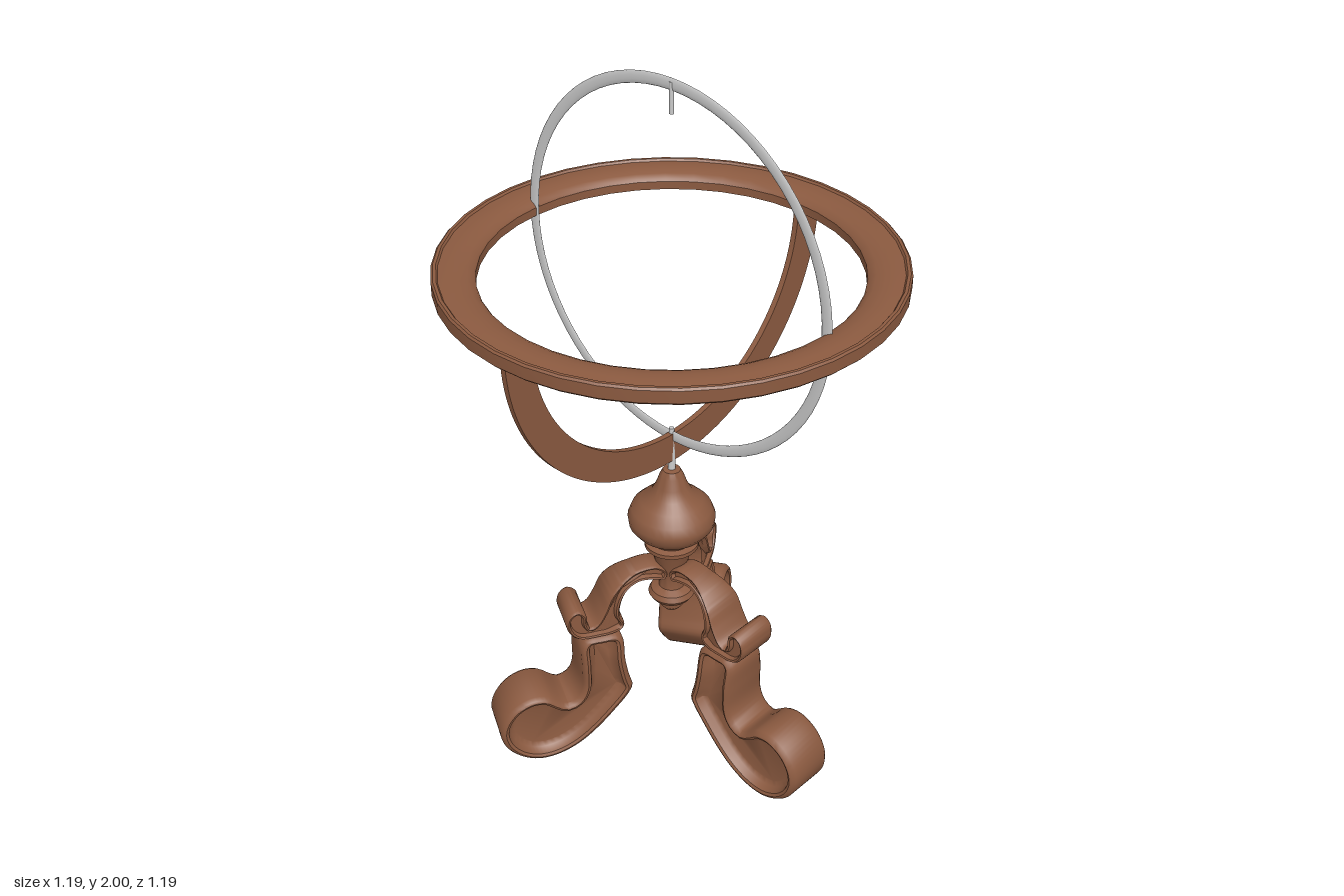
import * as THREE from 'three';
import { toCreasedNormals } from 'three/addons/utils/BufferGeometryUtils.js';

const wood = new THREE.MeshStandardMaterial({ color: 0x8b5a40 });
const woodThin = new THREE.MeshStandardMaterial({ color: 0x8b5a40, side: THREE.DoubleSide });
const metal = new THREE.MeshStandardMaterial({ color: 0xcccccc });

function add(parent, name, geometry, material) {
  const mesh = new THREE.Mesh(geometry, material);
  mesh.name = name;
  parent.add(mesh);
  return mesh;
}

const points = (list) => list.map(([x, y]) => new THREE.Vector2(x, y));

// Moves a counter-clockwise outline inwards along its normals.
function inset(loop, d) {
  const n = loop.length;
  return loop.map((p, i) => {
    const t = loop[(i + 1) % n].clone().sub(loop[(i + n - 1) % n]).normalize();
    return new THREE.Vector2(p.x - t.y * d, p.y + t.x * d);
  });
}

// Smooth carved slab: rounded edges, a raised rim and a dished panel on both sides.
// levels: [inset, drop below the half width], from panel to outer edge.
function carved(outline, samples, levels, halfWidth) {
  const curve = new THREE.CatmullRomCurve3(outline.map(([x, y]) => new THREE.Vector3(x, y, 0)), true);
  let loop = curve.getSpacedPoints(samples).slice(0, samples).map((p) => new THREE.Vector2(p.x, p.y));
  if (THREE.ShapeUtils.isClockWise(loop)) loop.reverse();
  const rows = [
    ...levels.map((l) => [...l, 1]),
    ...levels.slice().reverse().map((l) => [...l, -1]),
  ];
  const position = [], index = [], n = samples;
  for (const [d, drop, side] of rows) {
    inset(loop, d).forEach((p, j) => position.push(p.x, p.y, side * (halfWidth(loop[j].x, loop[j].y) - drop)));
  }
  for (let r = 0; r < rows.length - 1; r++) {
    for (let j = 0; j < n; j++) {
      const a = r * n + j, b = r * n + (j + 1) % n;
      index.push(a, a + n, b + n, a, b + n, b);
    }
  }
  const last = (rows.length - 1) * n;
  for (const [a, b, c] of THREE.ShapeUtils.triangulateShape(inset(loop, levels[0][0]), [])) {
    index.push(a, b, c, last + a, last + c, last + b);
  }
  const g = new THREE.BufferGeometry();
  g.setAttribute('position', new THREE.Float32BufferAttribute(position, 3));
  g.setIndex(index);
  return toCreasedNormals(g, 0.7);
}

export function createModel() {
  const model = new THREE.Group();
  model.name = 'globeStand';

  // Turned column with bulb, collar and lower knob
  const column = points([
    [0, 0.415], [0.022, 0.418], [0.032, 0.43], [0.032, 0.45], [0.055, 0.46], [0.065, 0.475],
    [0.058, 0.49], [0.036, 0.5], [0.032, 0.53], [0.04, 0.56], [0.052, 0.61], [0.06, 0.632],
    [0.075, 0.638], [0.075, 0.65], [0.058, 0.655], [0.066, 0.668], [0.098, 0.69], [0.117, 0.715],
    [0.12, 0.738], [0.11, 0.765], [0.085, 0.79], [0.058, 0.812], [0.043, 0.84], [0.033, 0.87],
    [0.024, 0.888], [0, 0.893],
  ]);
  add(model, 'column', toCreasedNormals(new THREE.LatheGeometry(column, 32), 0.7), wood);

  // Curved bracket with a small scroll at its outer end
  const bracketShape = carved([
    [0.02, 0.565], [0.05, 0.592], [0.1, 0.592], [0.15, 0.572], [0.19, 0.535], [0.213, 0.485],
    [0.235, 0.45], [0.252, 0.442], [0.26, 0.46], [0.262, 0.488], [0.285, 0.508], [0.31, 0.495],
    [0.318, 0.46], [0.303, 0.425], [0.28, 0.408], [0.22, 0.405], [0.155, 0.407], [0.15, 0.425],
    [0.163, 0.455], [0.16, 0.495], [0.14, 0.53], [0.1, 0.55], [0.06, 0.547], [0.03, 0.54],
  ], 120, [[0.014, 0.014], [0.01, 0.002], [0.005, 0], [0, 0.007]],
  (x) => 0.036 + 0.027 * THREE.MathUtils.smoothstep(x, 0.1, 0.22));

  // Leg ending in a large scrolled foot
  const legShape = carved([
    [0.16, 0.385], [0.18, 0.402], [0.22, 0.404], [0.258, 0.402], [0.277, 0.38], [0.279, 0.31],
    [0.281, 0.235], [0.298, 0.2], [0.325, 0.188], [0.352, 0.205], [0.38, 0.226], [0.425, 0.233],
    [0.475, 0.212], [0.51, 0.17], [0.522, 0.12], [0.508, 0.07], [0.475, 0.03], [0.43, 0.006],
    [0.385, 0.001], [0.335, 0.012], [0.285, 0.038], [0.235, 0.08], [0.18, 0.14], [0.148, 0.18],
    [0.135, 0.207], [0.145, 0.25], [0.155, 0.31],
  ], 100, [[0.042, 0.034], [0.03, 0.026], [0.022, 0.004], [0.014, 0], [0.007, 0.003], [0, 0.014]],
  (x, y) => 0.075 - 0.01 * THREE.MathUtils.smoothstep(y, 0.3, 0.4));

  for (let i = 0; i < 3; i++) {
    const leg = new THREE.Group();
    leg.name = 'leg' + (i + 1);
    leg.rotation.y = (i * Math.PI * 2) / 3;
    add(leg, 'bracket', bracketShape, wood);
    add(leg, 'scrollFoot', legShape, wood);
    model.add(leg);
  }

  // Horizontal ring with a gently domed top
  const rim = points([
    [0.485, 1.475], [0.588, 1.475], [0.595, 1.482], [0.595, 1.515], [0.59, 1.52], [0.582, 1.52],
    [0.578, 1.514], [0.555, 1.518], [0.53, 1.518], [0.505, 1.513], [0.49, 1.505], [0.485, 1.498],
    [0.485, 1.475],
  ]);
  add(model, 'horizonRing', toCreasedNormals(new THREE.LatheGeometry(rim, 40), 0.6), woodThin);

  // Half ring that carries the horizontal ring
  const half = new THREE.Shape();
  half.absarc(0, 0, 0.57, Math.PI, Math.PI * 2, false);
  half.absarc(0, 0, 0.485, Math.PI * 2, Math.PI, true);
  const halfGeometry = new THREE.ExtrudeGeometry(half, { depth: 0.016, bevelEnabled: false, curveSegments: 40 });
  halfGeometry.translate(0, 0, -0.008).rotateY(Math.PI / 2);
  add(model, 'supportArc', toCreasedNormals(halfGeometry, 0.6), wood).position.y = 1.49;

  // Flat metal ring standing across the half ring
  const meridian = add(model, 'meridianRing', new THREE.TorusGeometry(0.494, 0.016, 10, 72), metal);
  meridian.position.y = 1.49;
  meridian.scale.z = 0.25;

  // Pivot pins
  add(model, 'upperPin', new THREE.CylinderGeometry(0.006, 0.006, 0.08, 12), metal).position.y = 1.95;
  add(model, 'lowerPin', new THREE.CylinderGeometry(0.007, 0.011, 0.14, 12), metal).position.y = 0.95;

  return model;
}
